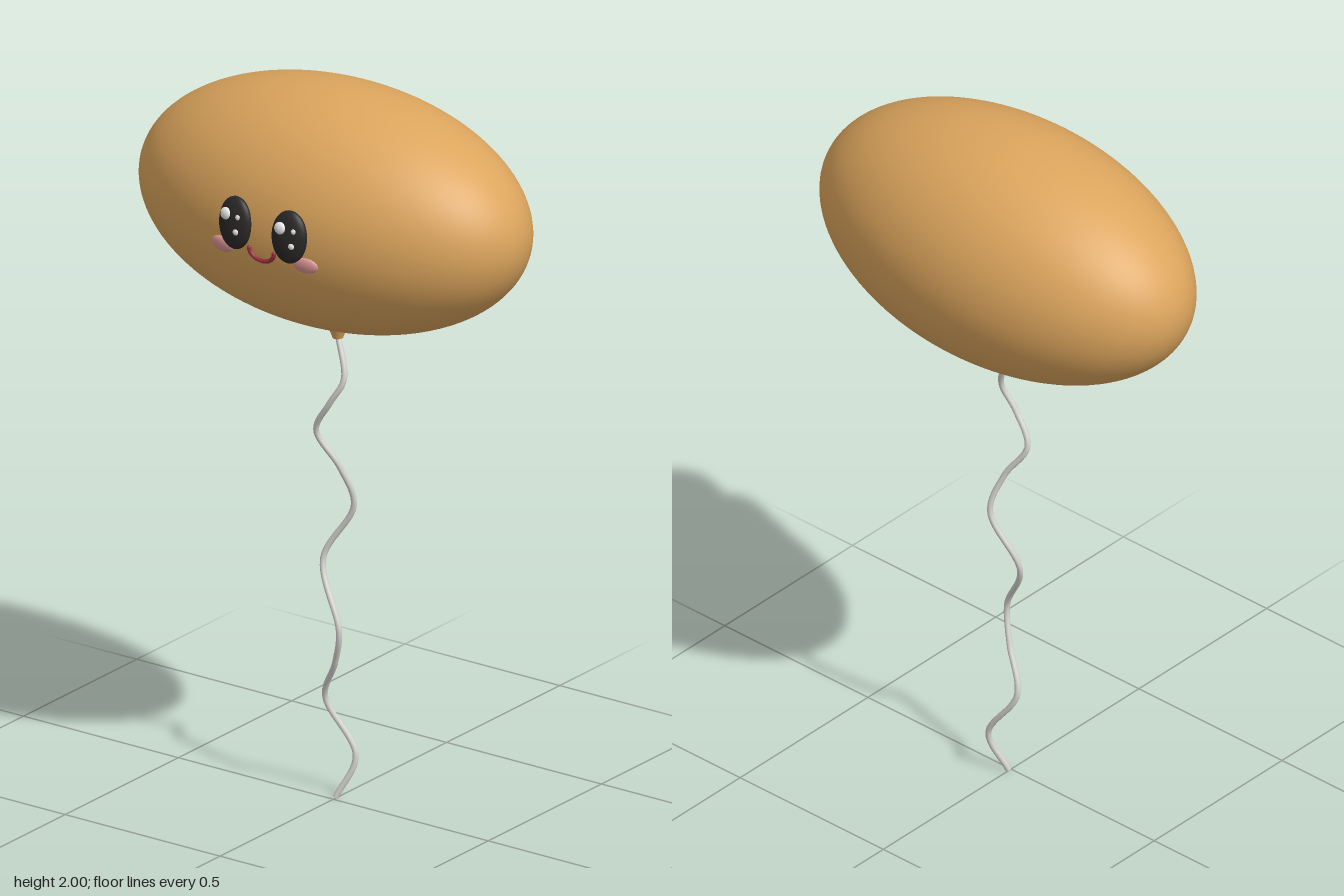
import * as THREE from 'three';

const material = (name, color) => {
  const m = new THREE.MeshStandardMaterial({ color });
  m.name = name;
  return m;
};

// Balloon ellipsoid: centre and radii
const C = new THREE.Vector3(0, 1.67, -0.012);
const R = new THREE.Vector3(0.59, 0.33, 0.329);

// Point on the front of the balloon at a given x, y
function onSkin(x, y) {
  const k = 1 - (x / R.x) ** 2 - ((y - C.y) / R.y) ** 2;
  return new THREE.Vector3(x, y, C.z + R.z * Math.sqrt(k));
}

export function createModel() {
  const model = new THREE.Group();
  const tan = material('balloon tan', 0xdca55d);
  const dark = material('eye black', 0x2b2727);
  const white = material('highlight white', 0xf4f4f4);
  const pink = material('cheek pink', 0xdb9494);
  const red = material('mouth red', 0x9c3040);
  const grey = material('string grey', 0xd6d4d0);

  const add = (name, geometry, mat, parent = model) => {
    const mesh = new THREE.Mesh(geometry, mat);
    mesh.name = name;
    parent.add(mesh);
    return mesh;
  };
  const ellipsoid = (name, mat, rx, ry, rz, parent) =>
    add(name, new THREE.SphereGeometry(1, 32, 20).scale(rx, ry, rz), mat, parent);

  // Balloon body
  const body = add('balloon', new THREE.SphereGeometry(1, 96, 64).scale(R.x, R.y, R.z), tan);
  body.position.copy(C);

  // Tied neck
  const neck = add('knot', new THREE.CylinderGeometry(0.034, 0.014, 0.055, 24), tan);
  neck.position.set(0, 1.317, -0.02);

  // Wavy string
  const path = [
    [0, 0.005, -0.01], [0.04, 0.12, -0.044], [-0.044, 0.27, -0.025], [0.01, 0.39, 0.005],
    [0.034, 0.49, 0.022], [-0.044, 0.66, -0.015], [0.034, 0.82, -0.044], [0.01, 0.93, -0.015],
    [-0.044, 1.03, 0.015], [0.005, 1.12, 0.022], [0.04, 1.19, 0.008], [0, 1.3, -0.02],
  ].map(p => new THREE.Vector3(...p));
  add('string', new THREE.TubeGeometry(new THREE.CatmullRomCurve3(path), 160, 0.008, 10), grey);

  // Eyes with highlights, and cheeks
  for (const [side, s] of [['left', 1], ['right', -1]]) {
    const eye = new THREE.Group();
    eye.name = side + 'Eye';
    eye.position.copy(onSkin(s * 0.087, 1.697));
    eye.rotation.set(-0.08, s * 0.08, 0);
    model.add(eye);
    ellipsoid('eyeball', dark, 0.053, 0.072, 0.024, eye);
    for (const [x, y, z, r] of [[-0.018, 0.025, 0.02, 0.017], [0.018, -0.018, 0.02, 0.009], [0.021, 0.022, 0.018, 0.008]]) {
      ellipsoid('eyeHighlight', white, r, r, r * 0.6, eye).position.set(x, y, z);
    }
    const cheek = ellipsoid(side + 'Cheek', pink, 0.037, 0.022, 0.011);
    cheek.position.copy(onSkin(s * 0.134, 1.625));
    cheek.rotation.set(0.13, s * 0.13, 0);
  }

  // Smile following the skin
  const smile = [];
  for (let i = 0; i <= 12; i++) {
    const a = Math.PI * (1 + i / 12);
    smile.push(onSkin(0.04 * Math.cos(a), 1.64 + 0.03 * Math.sin(a)).add(new THREE.Vector3(0, 0, 0.002)));
  }
  add('smile', new THREE.TubeGeometry(new THREE.CatmullRomCurve3(smile), 40, 0.006, 10), red);
  for (const p of [smile[0], smile[12]]) ellipsoid('smileEnd', red, 0.006, 0.006, 0.006).position.copy(p);

  return model;
}
